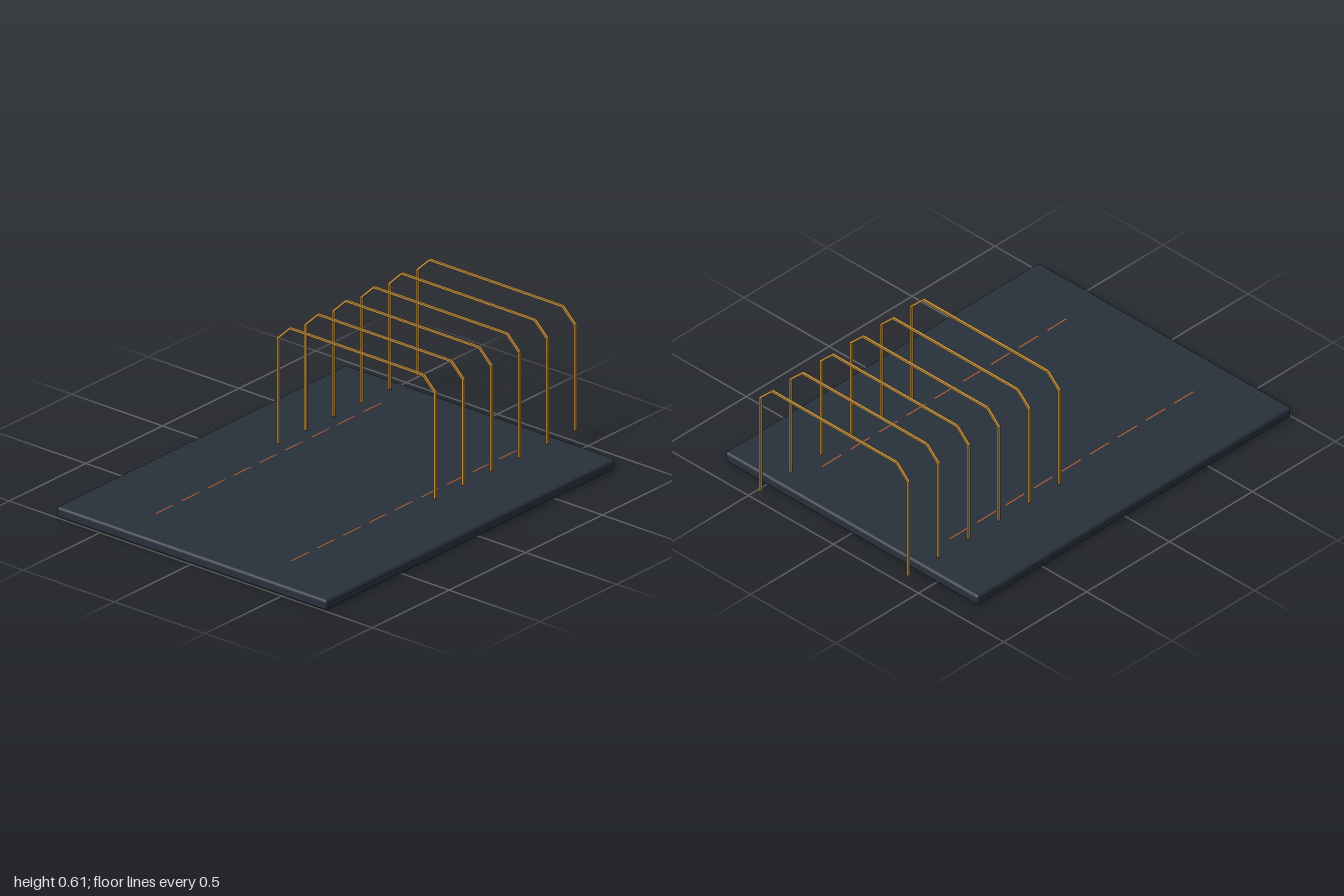
import * as THREE from 'three';
import { RoundedBoxGeometry } from 'three/addons/geometries/RoundedBoxGeometry.js';

const mat = (name, color) => {
  const m = new THREE.MeshStandardMaterial({ color });
  m.name = name;
  return m;
};

export function createModel() {
  const slate = mat('dark slate', 0x28303b);
  const brass = mat('brass', 0xc8943f);
  const orange = mat('burnt orange', 0xc05a2a);
  const model = new THREE.Group();
  const add = (parent, name, geometry, material, x, y, z) => {
    const mesh = new THREE.Mesh(geometry, material);
    mesh.name = name;
    mesh.position.set(x, y, z);
    parent.add(mesh);
  };

  // Base slab with softened edges
  add(model, 'baseSlab', new RoundedBoxGeometry(1.487, 0.05, 1.895, 3, 0.014), slate, 0, 0.025, 0.0525);

  // Thin arches with chamfered corners: outer outline, then back along the inner one
  const half = (x, y, cx, cy) => [[-x, 0.055], [-x, y], [-cx, cy], [cx, cy], [x, y], [x, 0.055]];
  const outline = [...half(0.438, 0.545, 0.368, 0.613), ...half(0.429, 0.541, 0.364, 0.604).reverse()];
  const depth = 0.012;
  const archGeometry = new THREE.ExtrudeGeometry(
    new THREE.Shape(outline.map(([x, y]) => new THREE.Vector2(x, y))),
    { depth, bevelEnabled: false }
  ).translate(0, 0, -depth / 2);
  for (let i = 0; i < 6; i++) add(model, 'wireArch', archGeometry, brass, 0, 0, -0.083 - i * 0.1822);

  // Two dashed lines of flat strips along the slab
  const dash = new THREE.PlaneGeometry(0.006, 0.115).rotateX(-Math.PI / 2);
  for (const side of [-1, 1]) {
    const line = new THREE.Group();
    line.name = side < 0 ? 'rightDashedLine' : 'leftDashedLine';
    for (let i = 0; i < 9; i++) add(line, 'dash', dash, orange, side * 0.373, 0.0515, -0.627 + i * 0.1695);
    model.add(line);
  }
  return model;
}
